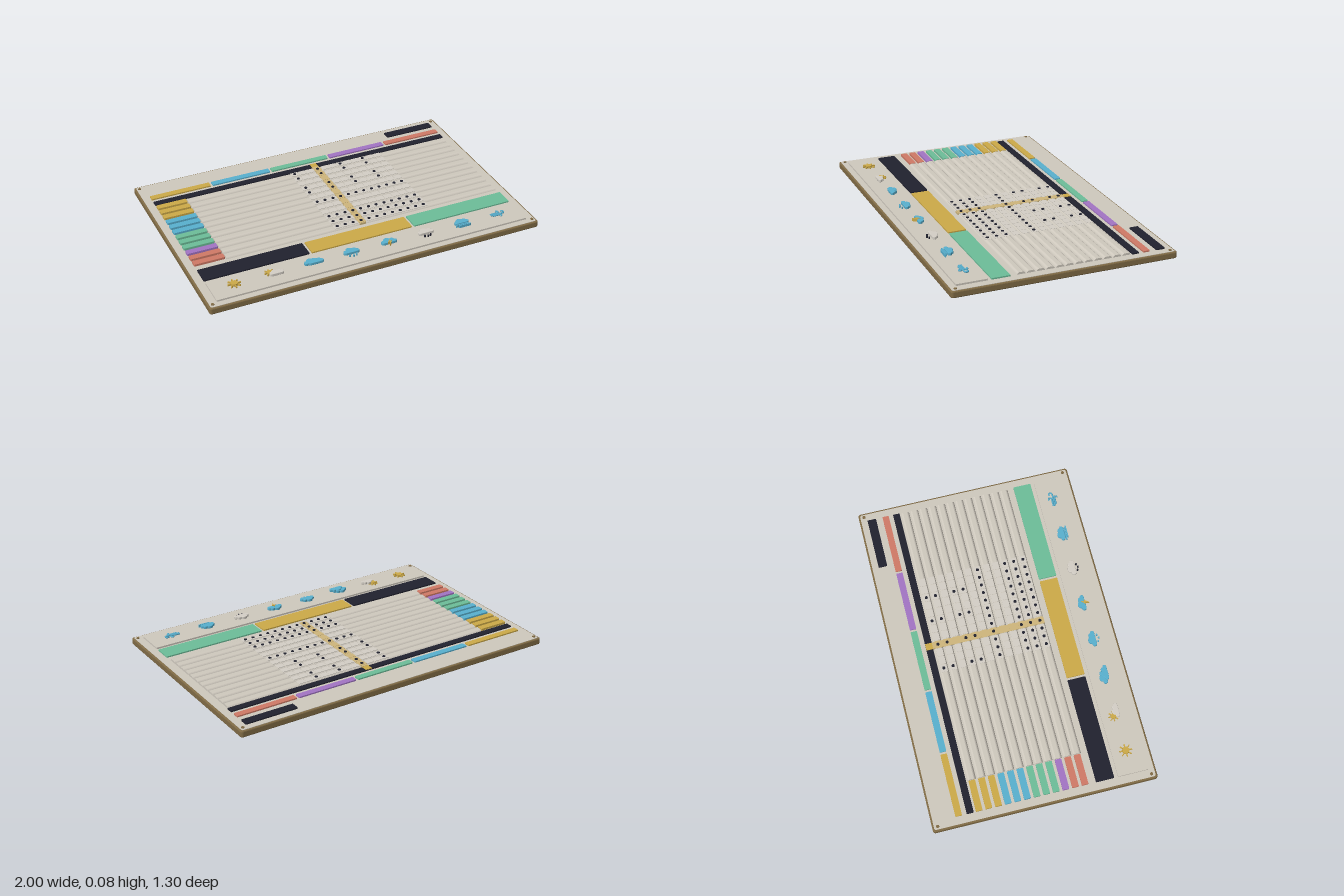
import * as THREE from 'three';

const mat = (name, color) => Object.assign(new THREE.MeshStandardMaterial({ color }), { name });
const M = {
  frame: mat('olive brown', 0x806b45),
  panel: mat('warm grey', 0xcfc9be),
  tile: mat('pale grey', 0xd4cfc6),
  dark: mat('ink', 0x20212e),
  yellow: mat('mustard', 0xcdaa48),
  blue: mat('sky blue', 0x58b0cf),
  green: mat('mint', 0x6dbd99),
  purple: mat('violet', 0xa274c4),
  red: mat('coral', 0xd07a66),
  glow: mat('pale mustard', 0xcfb67c),
};

export function createModel() {
  const model = new THREE.Group();
  model.name = 'plannerBoard';

  const add = (name, geo, material, x = 0, y = 0, z = 0, parent = model) => {
    const mesh = new THREE.Mesh(geo, material);
    mesh.name = name;
    mesh.position.set(x, y, z);
    parent.add(mesh);
    return mesh;
  };
  // Box given by its x and z limits, bottom and top
  const plate = (name, m, x0, x1, z0, z1, y0, y1, parent) =>
    add(name, new THREE.BoxGeometry(x1 - x0, y1 - y0, z1 - z0), m,
      (x0 + x1) / 2, (y0 + y1) / 2, (z0 + z1) / 2, parent);
  // Flat outline lying on the board, raised along y
  const slab = (shape, depth, bevel = 0) => new THREE.ExtrudeGeometry(shape, {
    depth, bevelEnabled: bevel > 0, bevelSize: bevel, bevelThickness: bevel,
    bevelOffset: -bevel, bevelSegments: 2, curveSegments: 8,
  }).rotateX(-Math.PI / 2);
  const roundRect = (w, h, r) => {
    const s = new THREE.Shape();
    s.absarc(w / 2 - r, h / 2 - r, r, 0, Math.PI / 2);
    s.absarc(-w / 2 + r, h / 2 - r, r, Math.PI / 2, Math.PI);
    s.absarc(-w / 2 + r, -h / 2 + r, r, Math.PI, Math.PI * 1.5);
    s.absarc(w / 2 - r, -h / 2 + r, r, Math.PI * 1.5, Math.PI * 2);
    return s;
  };
  const bar = (name, m, x0, x1, z0, z1, y0, y1, parent) =>
    add(name, slab(roundRect(x1 - x0, z1 - z0, 0.004), y1 - y0), m,
      (x0 + x1) / 2, y0, (z0 + z1) / 2, parent);

  // Board, face and corner pins
  add('baseBoard', slab(roundRect(2, 1.3, 0.015), 0.026, 0.006), M.frame, 0, 0.006, 0);
  add('facePanel', slab(roundRect(1.98, 1.28, 0.012), 0.006), M.panel, 0, 0.034, 0);
  for (const x of [-0.973, 0.973]) for (const z of [-0.618, 0.618])
    add('cornerPin', new THREE.CylinderGeometry(0.009, 0.009, 0.006, 12), M.frame, x, 0.041, z);

  // Title plate, category bars and dark heading row
  bar('titlePlate', M.dark, 0.63, 0.945, -0.602, -0.55, 0.038, 0.047);
  ['yellow', 'blue', 'green', 'purple', 'red'].forEach((c, i) => {
    const x = -0.945 + i * 0.3808;
    bar('categoryBar', M[c], x, x + 0.367, -0.51, -0.472, 0.038, 0.048);
  });
  plate('headingRow', M.dark, -0.945, 0.945, -0.445, -0.405, 0.038, 0.047);
  plate('headingMarker', M.yellow, 0.05, 0.09, -0.445, -0.405, 0.044, 0.05);

  // Rows: coloured label, rounded strip, tiles and dots
  const rowColours = ['yellow', 'yellow', 'yellow', 'blue', 'blue', 'blue',
    'green', 'green', 'green', 'purple', 'red', 'red'];
  const dotStep = [3, 3, 0, 3, 3, 0, 1, 0, 0, 1, 1, 1];
  const profile = new THREE.Shape();
  profile.moveTo(-0.025, 0);
  profile.quadraticCurveTo(-0.021, 0.01, -0.012, 0.012);
  profile.lineTo(0.012, 0.012);
  profile.quadraticCurveTo(0.021, 0.01, 0.025, 0);
  const stripGeo = new THREE.ExtrudeGeometry(profile,
    { depth: 1.7, bevelEnabled: false, curveSegments: 4 }).rotateY(Math.PI / 2);
  const tileGeo = new THREE.BoxGeometry(0.045, 0.003, 0.038);
  const dotGeo = new THREE.CylinderGeometry(0.009, 0.009, 0.004, 12);
  rowColours.forEach((c, r) => {
    const row = new THREE.Group();
    row.name = 'scheduleRow';
    row.position.set(0, 0.04, -0.372 + r * 0.0556);
    model.add(row);
    add('rowStrip', stripGeo, M.panel, -0.76, 0, 0, row);
    bar('rowLabel', M[c], -0.945, -0.765, -0.02, 0.018, 0, 0.013, row);
    for (let i = 0; i < 12; i++) {
      const x = -0.08 + i * 0.05;
      add('cellTile', tileGeo, i === 3 ? M.glow : M.tile, x, 0.0115, 0, row);
      if (dotStep[r] && i % dotStep[r] === 0) add('dot', dotGeo, M.dark, x, 0.015, 0, row);
    }
  });
  plate('columnHighlight', M.glow, 0.05, 0.09, -0.405, 0.265, 0.04, 0.0515);

  // Footer blocks and symbol panel
  ['dark', 'yellow', 'green'].forEach((c, i) => {
    const x = -0.945 + i * 0.635;
    bar('footerBlock', M[c], x, x + 0.62, 0.302, 0.408, 0.038, 0.048);
  });
  bar('symbolPanel', M.panel, -0.945, 0.945, 0.43, 0.605, 0.038, 0.05);

  // Weather symbols; local x right, v towards the back
  const cloudShape = (s) => {
    const c = new THREE.Shape();
    c.moveTo(-0.038 * s, -0.02 * s);
    c.bezierCurveTo(-0.06 * s, -0.018 * s, -0.056 * s, 0.012 * s, -0.033 * s, 0.01 * s);
    c.bezierCurveTo(-0.032 * s, 0.034 * s, 0.006 * s, 0.036 * s, 0.012 * s, 0.018 * s);
    c.bezierCurveTo(0.028 * s, 0.027 * s, 0.04 * s, 0.016 * s, 0.037 * s, 0.007 * s);
    c.bezierCurveTo(0.058 * s, 0.004 * s, 0.056 * s, -0.02 * s, 0.038 * s, -0.02 * s);
    c.closePath();
    return c;
  };
  const cloud = (g, m, x, v, s, y = 0.056) =>
    add('cloud', slab(cloudShape(s), 0.012, 0.002), m, x, y, -v, g);
  const sun = (g, x, v, s) => {
    add('sunDisc', new THREE.CylinderGeometry(0.02 * s, 0.02 * s, 0.014, 20), M.yellow, x, 0.057, -v, g);
    for (let i = 0; i < 8; i++) {
      const a = i * Math.PI / 4;
      const ray = add('sunRay', new THREE.BoxGeometry(0.017 * s, 0.01, 0.006 * s), M.yellow,
        x + Math.cos(a) * 0.029 * s, 0.056, -v + Math.sin(a) * 0.029 * s, g);
      ray.rotation.y = -a;
    }
  };
  const drops = (g, m, xs) => xs.forEach((x, i) =>
    add('drop', new THREE.CylinderGeometry(0.005, 0.005, 0.012, 10), m, x, 0.057, i % 2 ? 0.032 : 0.025, g));
  const breeze = (g, v, x0, x1, r, up) => {
    const pts = [new THREE.Vector3(x0, 0.06, -v), new THREE.Vector3((x0 + x1) / 2, 0.06, -v)];
    for (let i = 0; i <= 5; i++) {
      const a = -Math.PI / 2 + i * Math.PI / 4;
      pts.push(new THREE.Vector3(x1 + Math.cos(a) * r, 0.06, -v - up * (r + Math.sin(a) * r)));
    }
    add('breeze', new THREE.TubeGeometry(new THREE.CatmullRomCurve3(pts), 24, 0.005, 6), M.blue, 0, 0, 0, g);
  };
  const bolt = new THREE.Shape([[0.008, 0.01], [-0.014, -0.014], [-0.002, -0.014],
    [-0.008, -0.036], [0.014, -0.007], [0.003, -0.007]].map(([x, y]) => new THREE.Vector2(x, y)));
  const symbols = [
    ['sunny', (g) => sun(g, 0, 0, 1)],
    ['partlySunny', (g) => { sun(g, -0.02, 0.013, 0.8); cloud(g, M.tile, 0.01, -0.008, 0.8); }],
    ['cloudy', (g) => { cloud(g, M.blue, -0.008, 0.005, 0.85); cloud(g, M.blue, 0.012, -0.008, 0.85, 0.062); }],
    ['rain', (g) => { cloud(g, M.blue, 0, 0.005, 0.9); drops(g, M.blue, [-0.02, 0, 0.02]); }],
    ['storm', (g) => { cloud(g, M.blue, 0, 0.005, 0.9); add('bolt', slab(bolt, 0.018), M.yellow, 0, 0.056, 0, g); }],
    ['snow', (g) => { cloud(g, M.tile, 0, 0.005, 0.9); drops(g, M.dark, [-0.018, 0, 0.018]); }],
    ['fog', (g) => {
      cloud(g, M.blue, 0, 0.008, 0.85);
      bar('fogBar', M.blue, -0.045, 0.035, 0.012, 0.019, 0.05, 0.066, g);
      bar('fogBar', M.blue, -0.03, 0.045, 0.022, 0.029, 0.05, 0.066, g);
    }],
    ['wind', (g) => {
      breeze(g, 0.006, -0.045, 0.005, 0.009, 1);
      breeze(g, -0.004, -0.045, 0.035, 0.01, 1);
      breeze(g, -0.013, -0.035, 0.012, 0.007, -1);
    }],
  ];
  symbols.forEach(([name, build], i) => {
    const g = new THREE.Group();
    g.name = name + 'Symbol';
    g.position.set(-0.81 + i * 0.2305, 0, 0.512);
    build(g);
    model.add(g);
  });
  return model;
}
